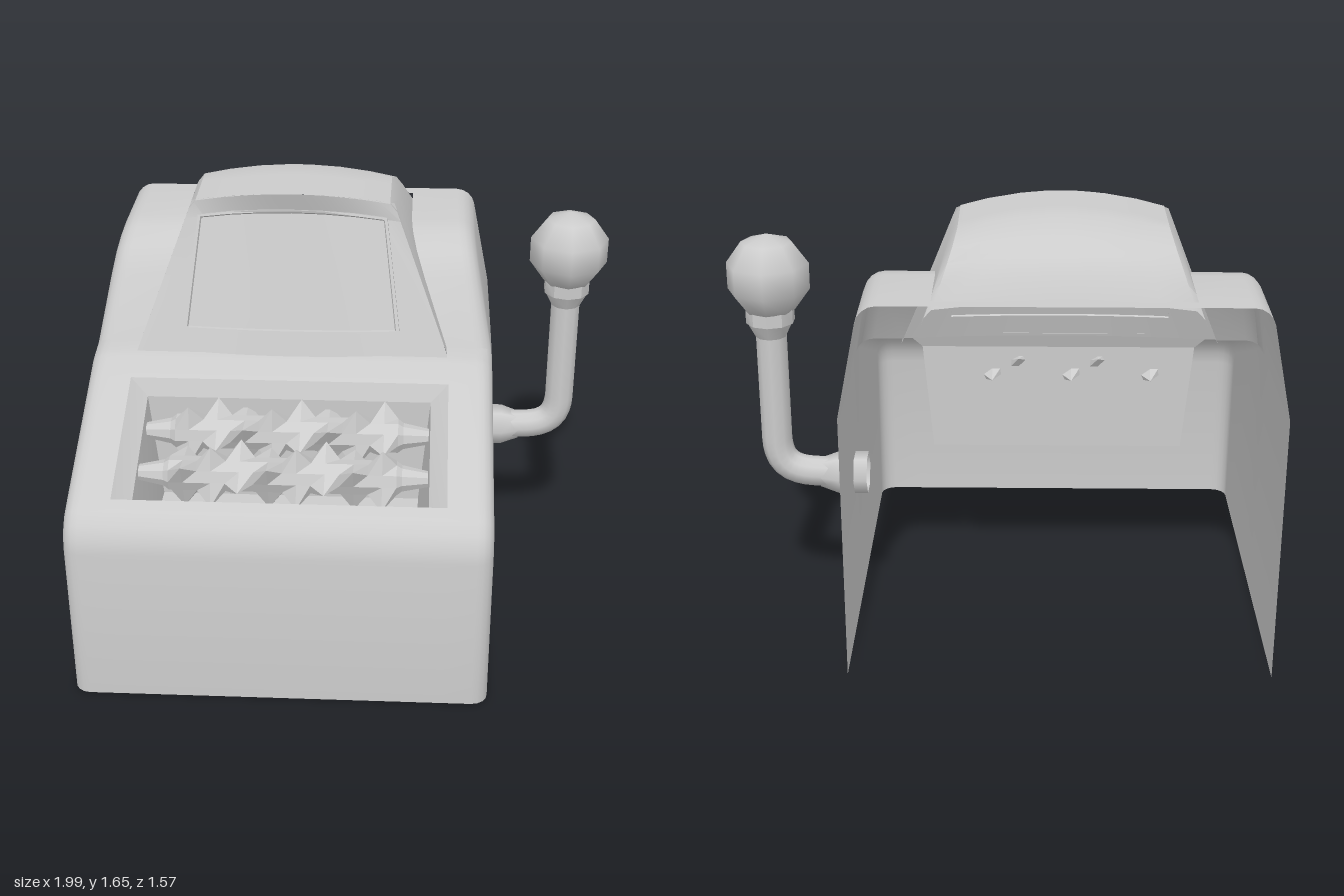
import * as THREE from 'three';
import { toCreasedNormals, mergeVertices } from 'three/addons/utils/BufferGeometryUtils.js';

const CX = -0.225;               // centre line of the cabinet
const clamp = THREE.MathUtils.clamp;
const grey = new THREE.MeshStandardMaterial({ color: 0xcccccc, side: THREE.DoubleSide });
const greyFlat = new THREE.MeshStandardMaterial({ color: 0xcccccc, side: THREE.DoubleSide, flatShading: true });

// Surface through rows of [x, y, z] points; skip(i, j) leaves holes
function loft(rows, crease = 0.6, skip = () => false) {
  const n = rows[0].length, index = [];
  for (let i = 0; i < rows.length - 1; i++) {
    for (let j = 0; j < n - 1; j++) {
      if (skip(i, j)) continue;
      const a = i * n + j, b = a + n;
      index.push(a, a + 1, b, b, a + 1, b + 1);
    }
  }
  const g = new THREE.BufferGeometry();
  g.setAttribute('position', new THREE.Float32BufferAttribute(rows.flat(2), 3));
  g.setIndex(index);
  return toCreasedNormals(mergeVertices(g, 1e-5), crease);
}

// Half section (from +x to the middle) completed by its mirror image
const mirrored = half => [...half, ...half.slice().reverse().map(([x, y, z]) => [-x, y, z])];

// Cabinet side profile as [z, y], from the front foot over the top to the back
const profile = [[0.785, 0], [0.785, 0.62], [0.775, 0.67], [0.75, 0.72], [0.71, 0.757], [0.66, 0.78],
  [0.13, 0.997], [0.03, 1.038], [0, 1.045], [-0.08, 1.05], [-0.2, 1.28], [-0.27, 1.37], [-0.36, 1.415],
  [-0.45, 1.43], [-0.73, 1.43], [-0.785, 1.43]];

function topAt(z) {
  for (let i = 1; i < profile.length; i++) {
    const [z0, y0] = profile[i - 1], [z1, y1] = profile[i];
    if (z >= z1 && z0 > z1) return y0 + (y1 - y0) * clamp((z0 - z) / (z0 - z1), 0, 1);
  }
  return 1.43;
}

const cabinetHalf = y => 0.775 - Math.max(0, y - 1.02) * 0.2;
const hoodHalf = y => 0.385 + (1.6 - y) * 0.385;
const within = (z, a, b) => z > a && z < b;

function cabinet() {
  const r = 0.06;
  const rows = profile.map(([z, y], i) => {
    const p = profile[Math.max(i - 1, 0)], q = profile[Math.min(i + 1, profile.length - 1)];
    const t = new THREE.Vector2(q[0] - p[0], q[1] - p[1]).normalize();
    const edge = [0, 0.25, 0.5, 0.75, 1].map(k => {
      const a = k * Math.PI / 2, d = r * (1 - Math.sin(a));
      const py = Math.max(0, y + t.x * d), pz = z - t.y * d;
      return [cabinetHalf(py) - r * (1 - Math.cos(a)), py, pz];
    });
    const [, ey, ez] = edge[0];
    const wall = [[0.775, 0, ez], [0.775, Math.min(ey, 1.02), ez]];
    const inner = z > 0 ? 0.605 : hoodHalf(y);
    return mirrored([...wall, ...edge, [inner, y, z]]);
  });
  const mid = rows[0].length / 2 - 1;
  return loft(rows, 0.6, (i, j) => {
    const z = (profile[i][0] + profile[i + 1][0]) / 2;
    return j === mid && (within(z, 0.13, 0.66) || within(z, -0.73, 0));
  });
}

// Sunken hopper: rectangular rings going down, closed by a floor
function hopper() {
  const ring = (w, zb, yb, zf, yf) => [[-w, yb, zb], [w, yb, zb], [w, yf, zf], [-w, yf, zf], [-w, yb, zb]];
  const rings = [ring(0.605, 0.13, 0.997, 0.66, 0.78), ring(0.54, 0.155, 0.93, 0.595, 0.735),
    ring(0.5, 0.155, 0.5, 0.5, 0.5), ring(0, 0.32, 0.5, 0.32, 0.5)];
  return loft(rings, 0.2);
}

// Hood face depth: leans back, bows out in the middle, brow comes forward again
function faceZ(x, y) {
  const u = x / hoodHalf(y);
  return 0.015 - 0.32 * (Math.min(y, 1.57) - 1.04) + Math.max(0, y - 1.57) * 0.32 - 0.04 * u * u;
}

function hoodShell() {
  // [roof z, roof height, foot z]
  const stations = [[-0.13, 1.65, -0.025], [-0.17, 1.65, -0.08], [-0.25, 1.65, -0.2], [-0.33, 1.65, -0.29],
    [-0.45, 1.65, -0.45], [-0.56, 1.61, -0.56], [-0.65, 1.57, -0.65], [-0.7, 1.51, -0.69], [-0.735, 1.43, -0.72]];
  const rows = stations.map(([z, t, zf], i) => {
    const bow = i < 4 ? -0.04 : i > 5 ? 0.05 : 0;
    const yf = Math.min(topAt(zf) - 0.02, t - 0.09);
    const half = [[hoodHalf(yf), yf, zf], [hoodHalf(t - 0.08), t - 0.08, z + bow]];
    for (const u of [0.96, 0.7, 0.4, 0.1]) half.push([u * hoodHalf(t - 0.05), t - 0.05 * u * u, z + bow * u * u]);
    return mirrored(half);
  });
  return loft(rows, 0.55);
}

function hoodFace() {
  const rows = [0, 0.5, 0.87, 1].map(v => {
    const row = [];
    for (let k = -6; k <= 6; k++) {
      const u = k / 6, y = 1.03 + v * (0.57 + 0.05 * (1 - u * u)), x = u * hoodHalf(Math.min(y, 1.6));
      row.push([x, y, faceZ(x, y)]);
    }
    return row;
  });
  return loft(rows, 0.3);
}

// Bowed screen with a raised rim; the step depends on the distance to the border
function screen() {
  const us = [-1, -1, -0.97, -0.96, -0.65, -0.33, 0, 0.33, 0.65, 0.96, 0.97, 1, 1];
  const vs = [0, 0, 0.02, 0.03, 0.5, 0.97, 0.98, 1, 1];
  const step = [-0.01, 0.03, 0.03, 0.018];
  const rows = vs.map((v, i) => us.map((u, j) => {
    const k = Math.min(i, vs.length - 1 - i, j, us.length - 1 - j, 3);
    const x = u * (0.415 - 0.055 * v), y = 1.13 + v * (0.415 + 0.035 * (1 - u * u));
    return [x, y + step[k] * 0.3, faceZ(x, y) + step[k]];
  }));
  return loft(rows, 0.4);
}

// Shredding roller: a faceted shaft whose rings carry staggered teeth
function roller(phase) {
  const rows = [], sides = 9, count = 17;
  const ring = (x, radius) => {
    const row = [];
    for (let j = 0; j <= sides; j++) {
      const a = (j % sides) / sides * Math.PI * 2 + phase;
      row.push([x, radius(j % sides) * Math.cos(a), radius(j % sides) * Math.sin(a)]);
    }
    rows.push(row);
  };
  ring(-0.535, () => 0.001);
  ring(-0.535, () => 0.03);
  ring(-0.44, () => 0.05);
  for (let i = 0; i < count; i++) {
    ring(-0.42 + i * 0.84 / (count - 1), j => (i % 2 && (j + (i - 1) / 2) % 3 === 0) ? 0.13 : 0.065);
  }
  ring(0.44, () => 0.05);
  ring(0.535, () => 0.03);
  ring(0.535, () => 0.001);
  return loft(rows, 0.05);
}

function lathe(points, sides) {
  return new THREE.LatheGeometry(points.map(p => new THREE.Vector2(...p)), sides);
}

export function createModel() {
  const model = new THREE.Group();
  model.name = 'leverShredder';
  const add = (parent, name, geometry, material = grey) => {
    const mesh = new THREE.Mesh(geometry, material);
    mesh.name = name;
    parent.add(mesh);
    return mesh;
  };

  const machine = new THREE.Group();
  machine.name = 'machine';
  machine.position.x = CX;
  model.add(machine);
  add(machine, 'cabinet', cabinet());
  add(machine, 'hopper', hopper());
  add(machine, 'hoodShell', hoodShell());
  add(machine, 'hoodFace', hoodFace());
  add(machine, 'screen', screen());
  add(machine, 'backRoller', roller(0.3), greyFlat).position.set(0, 0.83, 0.24);
  add(machine, 'frontRoller', roller(0.9), greyFlat).position.set(0, 0.77, 0.45);

  // Lever: socket, bent rod, neck and knob
  const lever = new THREE.Group();
  lever.name = 'lever';
  lever.position.z = -0.3;
  model.add(lever);
  const path = new THREE.CurvePath();
  const v = (x, y) => new THREE.Vector3(x, y, 0);
  path.add(new THREE.LineCurve3(v(0.6, 0.59), v(0.7, 0.595)));
  path.add(new THREE.CubicBezierCurve3(v(0.7, 0.595), v(0.8, 0.6), v(0.84, 0.64), v(0.84, 0.74)));
  path.add(new THREE.LineCurve3(v(0.84, 0.74), v(0.84, 1.17)));
  add(lever, 'leverRod', new THREE.TubeGeometry(path, 28, 0.057, 10));
  const socket = add(lever, 'leverSocket', lathe([[0.08, 0], [0.08, 0.11], [0.055, 0.18]], 6));
  socket.position.set(0.5, 0.59, 0);
  socket.rotation.z = -Math.PI / 2;
  const neck = add(lever, 'leverNeck', toCreasedNormals(
    lathe([[0.055, 1.14], [0.085, 1.2], [0.09, 1.2], [0.09, 1.27]], 10), 0.6));
  neck.position.x = 0.84;
  const knob = add(lever, 'leverKnob', new THREE.SphereGeometry(0.158, 8, 5));
  knob.position.set(0.84, 1.375, 0);
  return model;
}
